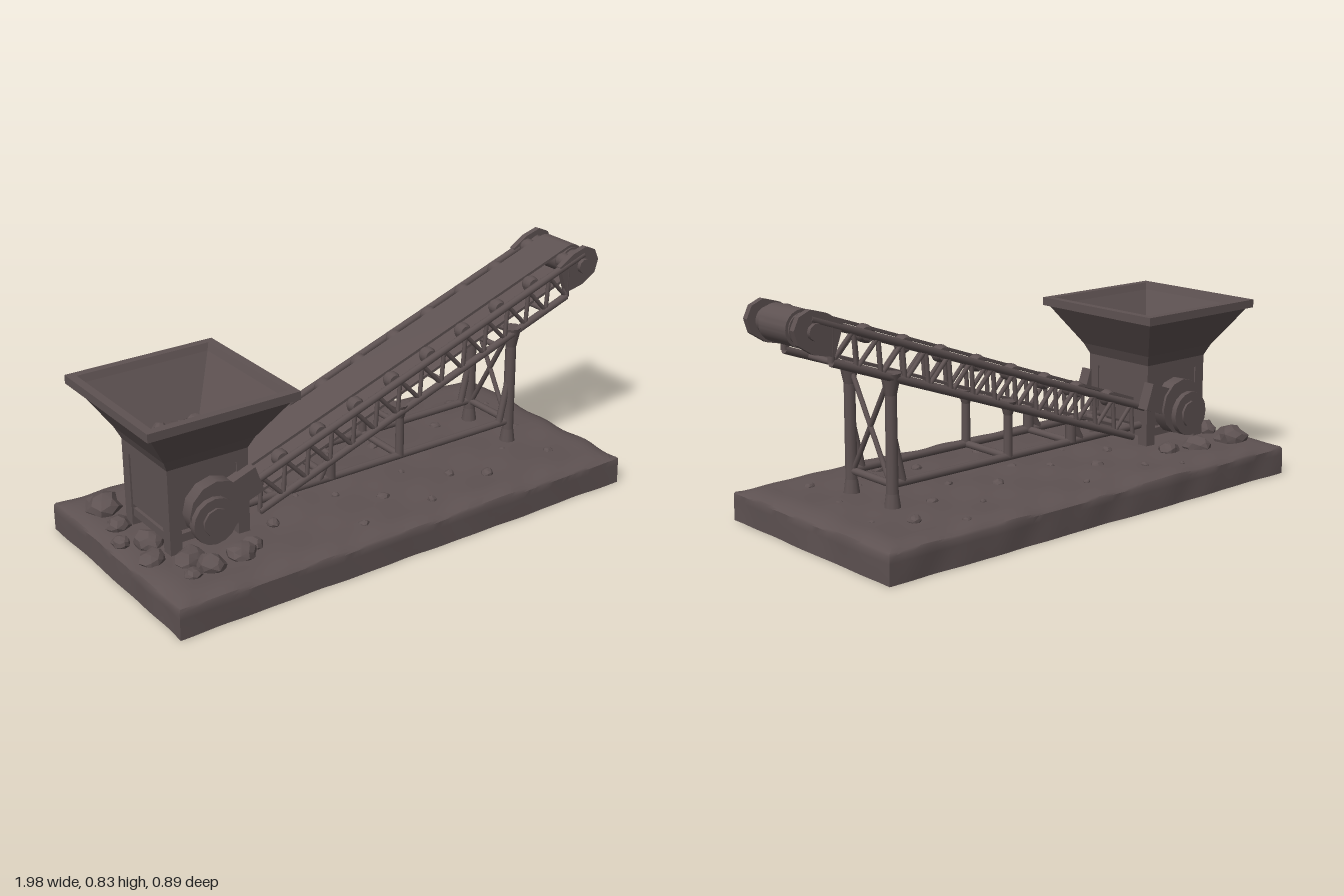
import * as THREE from 'three';
import { mergeVertices, toCreasedNormals } from 'three/addons/utils/BufferGeometryUtils.js';

export function createModel() {
  const model = new THREE.Group();
  model.name = 'conveyorWithHopper';
  const stone = new THREE.MeshStandardMaterial({ color: 0x5e5252, side: THREE.DoubleSide });
  stone.name = 'dark brown grey';

  const V = (x, y, z) => new THREE.Vector3(x, y, z);
  function add(parent, name, geo, x = 0, y = 0, z = 0) {
    const m = new THREE.Mesh(geo, stone);
    m.name = name;
    m.position.set(x, y, z);
    parent.add(m);
    return m;
  }
  // Round bar between two points
  function bar(parent, name, a, b, r, r2 = r, sides = 10) {
    const m = add(parent, name, new THREE.CylinderGeometry(r2, r, a.distanceTo(b), sides));
    m.position.copy(a).add(b).multiplyScalar(0.5);
    m.quaternion.setFromUnitVectors(V(0, 1, 0), b.clone().sub(a).normalize());
    return m;
  }
  // Drum with its axis along z
  function drum(parent, name, r, len, x, y, z, sides = 24) {
    return add(parent, name, new THREE.CylinderGeometry(r, r, len, sides).rotateX(Math.PI / 2), x, y, z);
  }
  const noise = (x, y, z) => (Math.sin(x * 9 + z * 7 + 1) + Math.sin(x * 17 - z * 13 + y * 20)
    + Math.sin(z * 25 + x * 6 + 2) + 0.7 * Math.sin(x * 33 + z * 29 + y * 15)) / 3.7;
  // Move every vertex by a rule and recompute normals
  function warp(geo, rule, crease) {
    geo.deleteAttribute('uv');
    geo.deleteAttribute('normal');
    const g = mergeVertices(geo, 1e-4), p = g.attributes.position, v = V(0, 0, 0);
    for (let i = 0; i < p.count; i++) {
      v.fromBufferAttribute(p, i);
      rule(v);
      p.setXYZ(i, v.x, v.y, v.z);
    }
    g.computeVertexNormals();
    return toCreasedNormals(g, crease);
  }

  // Rough ground slab with softened upper edges
  add(model, 'groundSlab', warp(new THREE.BoxGeometry(1.86, 0.12, 0.88, 60, 5, 30), v => {
    const n = noise(v.x, v.y, v.z), t = (v.y + 0.06) / 0.12;
    const edge = Math.min(0.93 - Math.abs(v.x), 0.44 - Math.abs(v.z));
    const side = edge < 0.001;
    if (t > 0.99) v.y += n * 0.007 - 0.016 * Math.max(0, 1 - edge / 0.05);
    if (side) {
      const k = 1 + 0.012 * n - (t > 0.99 ? 0.012 : 0);
      v.x *= 1 + (k - 1) * 0.5;
      v.z *= k;
    }
  }, 0.7), -0.06, 0.06, 0);

  // Loose rocks around the hopper feet
  function rock(parent, x, y, z, s, seed) {
    const g = warp(new THREE.IcosahedronGeometry(s, 1), v => {
      v.multiplyScalar(1 + 0.22 * noise(v.x / s * 0.3 + seed, v.y / s * 0.2, v.z / s * 0.3));
      v.y *= 0.75;
    }, 0.3);
    add(parent, 'rock', g, x, y, z);
  }
  const rocks = [[-0.88, -0.28, 0.065], [-0.87, 0.03, 0.05], [-0.92, 0.14, 0.045], [-0.78, 0.28, 0.05],
    [-0.66, 0.27, 0.05], [-0.9, -0.13, 0.045], [-0.6, 0.24, 0.035], [-0.82, 0.21, 0.055],
    [-0.7, -0.27, 0.05], [-0.58, -0.24, 0.04], [-0.86, 0.3, 0.03], [-0.95, -0.02, 0.03]];
  rocks.forEach(([x, z, s], i) => rock(model, x, 0.125, z, s, i * 1.7));
  for (let i = 0; i < 26; i++) {
    rock(model, -0.5 + ((i * 0.377) % 1.3), 0.118, -0.38 + ((i * 0.293) % 0.76), 0.012 + (i % 4) * 0.004, i);
  }

  // Hopper: square funnel shell on a boxed neck
  const hopper = new THREE.Group();
  hopper.name = 'hopper';
  hopper.position.x = -0.705;
  model.add(hopper);
  const profile = [[0.146, 0.2], [0.146, 0.39], [0.152, 0.39], [0.152, 0.43], [0.17, 0.47], [0.262, 0.612],
    [0.28, 0.615], [0.28, 0.645], [0.25, 0.645], [0.24, 0.62], [0.14, 0.44], [0.14, 0.4], [0, 0.4]];
  const shell = new THREE.LatheGeometry(profile.map(([w, y]) => new THREE.Vector2(w * Math.SQRT2, y)), 4)
    .rotateY(Math.PI / 4).toNonIndexed();
  shell.computeVertexNormals();
  add(hopper, 'funnel', shell);
  add(hopper, 'orePile', warp(new THREE.SphereGeometry(0.14, 28, 18), v => {
    const n = noise(v.x * 2, v.y, v.z * 2);
    v.y = v.y * 0.45 + n * 0.02;
  }, 0.9), 0, 0.425, 0);
  [[0.05, 0.06], [-0.06, 0.05], [0.08, -0.06], [0.02, -0.04], [-0.05, -0.07]].forEach(([x, z], i) =>
    rock(hopper, x, 0.47, z, 0.026, i * 2.3));
  for (const x of [-0.13, 0.13]) for (const z of [-0.13, 0.13]) {
    add(hopper, 'hopperLeg', new THREE.BoxGeometry(0.044, 0.31, 0.044), x, 0.255, z);
  }
  for (const s of [-1, 1]) {
    add(hopper, 'hopperCrossBeam', new THREE.BoxGeometry(0.03, 0.03, 0.26), s * 0.13, 0.17, 0);
    add(hopper, 'hopperSideBeam', new THREE.BoxGeometry(0.26, 0.03, 0.03), 0, 0.17, s * 0.13);
    // Drive housing and hub on each side
    drum(hopper, 'driveHousing', 0.105, 0.05, 0.005, 0.262, s * 0.172, 12);
    add(hopper, 'driveBracket', new THREE.BoxGeometry(0.2, 0.1, 0.045), 0.08, 0.29, s * 0.165).rotation.z = 0.34;
    drum(hopper, 'driveMotor', 0.083, 0.03, -0.015, 0.235, s * 0.203, 16);
    drum(hopper, 'driveHub', 0.05, 0.02, -0.015, 0.235, s * 0.217, 10);
  }

  // Inclined conveyor: local x runs along the belt, origin at the head drum
  const conveyor = new THREE.Group();
  conveyor.name = 'conveyor';
  conveyor.position.set(0.915, 0.755, 0);
  conveyor.rotation.z = 0.341;
  model.add(conveyor);
  const L = 1.63;

  // Belt loop around both end drums
  const loop = (path, r) => {
    path.absarc(0, 0, r, -Math.PI / 2, Math.PI / 2, false);
    path.absarc(-L, 0, r, Math.PI / 2, Math.PI * 1.5, false);
    path.closePath();
    return path;
  };
  const belt = loop(new THREE.Shape(), 0.062);
  belt.holes.push(loop(new THREE.Path(), 0.052));
  add(conveyor, 'belt', toCreasedNormals(new THREE.ExtrudeGeometry(belt,
    { depth: 0.15, bevelEnabled: false, curveSegments: 16 }).translate(0, 0, -0.075), 0.5));
  for (const x of [0, -L]) {
    drum(conveyor, 'endDrum', 0.052, 0.16, x, 0, 0);
    drum(conveyor, 'drumAxle', 0.02, 0.28, x, 0, 0, 12);
  }

  for (const s of [-1, 1]) {
    const z = s * 0.13;
    // Lattice side frame
    bar(conveyor, 'upperChord', V(-L + 0.06, 0.035, z), V(0.02, 0.035, z), 0.014);
    bar(conveyor, 'lowerChord', V(-L + 0.1, -0.08, z), V(-0.1, -0.08, z), 0.014);
    const bays = 28, step = (L - 0.2) / bays;
    for (let i = 0; i < bays; i++) {
      const x = -L + 0.1 + i * step, up = i % 2 === 0;
      bar(conveyor, 'latticeBar', V(x, up ? -0.08 : 0.035, z), V(x + step, up ? 0.035 : -0.08, z), 0.008, 0.008, 8);
    }
    bar(conveyor, 'latticeEndBar', V(-0.1, -0.08, z), V(-0.06, 0.035, z), 0.012);
    // Rounded head plate and hubs
    const plate = new THREE.Shape([[-0.1, -0.06], [-0.02, -0.07], [0.045, -0.055], [0.075, -0.015], [0.07, 0.03],
      [0.035, 0.062], [-0.03, 0.066], [-0.1, 0.05]].map(p => new THREE.Vector2(...p)));
    add(conveyor, 'headPlate', new THREE.ExtrudeGeometry(plate, { depth: 0.022, bevelEnabled: false }), 0, 0, z - 0.011);
    drum(conveyor, 'headBearing', 0.045, 0.04, 0, 0, s * 0.098, 16);
    drum(conveyor, 'headCap', 0.028, 0.018, 0, 0, s * 0.147, 10);
    // Barrel idlers beside the belt
    const barrel = [[0, -0.021], [0.022, -0.021], [0.03, -0.008], [0.03, 0.008], [0.022, 0.021], [0, 0.021]];
    for (let i = 0; i < 9; i++) {
      const x = -0.05 - i * 0.166;
      const idler = new THREE.LatheGeometry(barrel.map(p => new THREE.Vector2(...p)), 14).rotateX(Math.PI / 2);
      add(conveyor, 'idler', toCreasedNormals(idler, 0.7), x, 0.036, s * 0.098);
    }
  }
  // Cross ties under the belt
  for (let i = 0; i < 6; i++) {
    const x = -0.2 - i * 0.25;
    bar(conveyor, 'crossTie', V(x, -0.08, -0.13), V(x, -0.08, 0.13), 0.011);
  }

  // Support frame standing on the slab
  const frame = new THREE.Group();
  frame.name = 'supportFrame';
  model.add(frame);
  for (const s of [-1, 1]) {
    const z = s * 0.113;
    bar(frame, 'tallLeg', V(0.605, 0.1, z), V(0.605, 0.56, z), 0.022, 0.02);
    bar(frame, 'legFoot', V(0.605, 0.1, z), V(0.605, 0.17, z), 0.032, 0.022);
    bar(frame, 'legHead', V(0.605, 0.5, z), V(0.605, 0.575, z), 0.02, 0.036);
    bar(frame, 'legStrut', V(0.56, 0.2, z), V(0.6, 0.37, z), 0.013);
    bar(frame, 'baseRail', V(-0.58, 0.2, z), V(0.605, 0.2, z), 0.014);
    bar(frame, 'middlePost', V(0.1, 0.2, z), V(0.1, 0.39, z), 0.016);
    bar(frame, 'middlePostHead', V(0.1, 0.35, z), V(0.1, 0.4, z), 0.016, 0.032);
    bar(frame, 'shortPost', V(-0.2, 0.2, z), V(-0.2, 0.29, z), 0.02);
    bar(frame, 'shortStrut', V(-0.25, 0.2, z), V(-0.2, 0.29, z), 0.013);
    bar(frame, 'crossBrace', V(0.605, 0.2, -z * 0.9), V(0.605, 0.55, z * 0.9), 0.009);
  }
  for (const [x, y] of [[0.605, 0.56], [0.605, 0.2], [0.1, 0.2], [0.1, 0.385], [-0.2, 0.2], [-0.5, 0.2]]) {
    bar(frame, 'frameCrossBar', V(x, y, -0.113), V(x, y, 0.113), 0.013);
  }
  return model;
}
